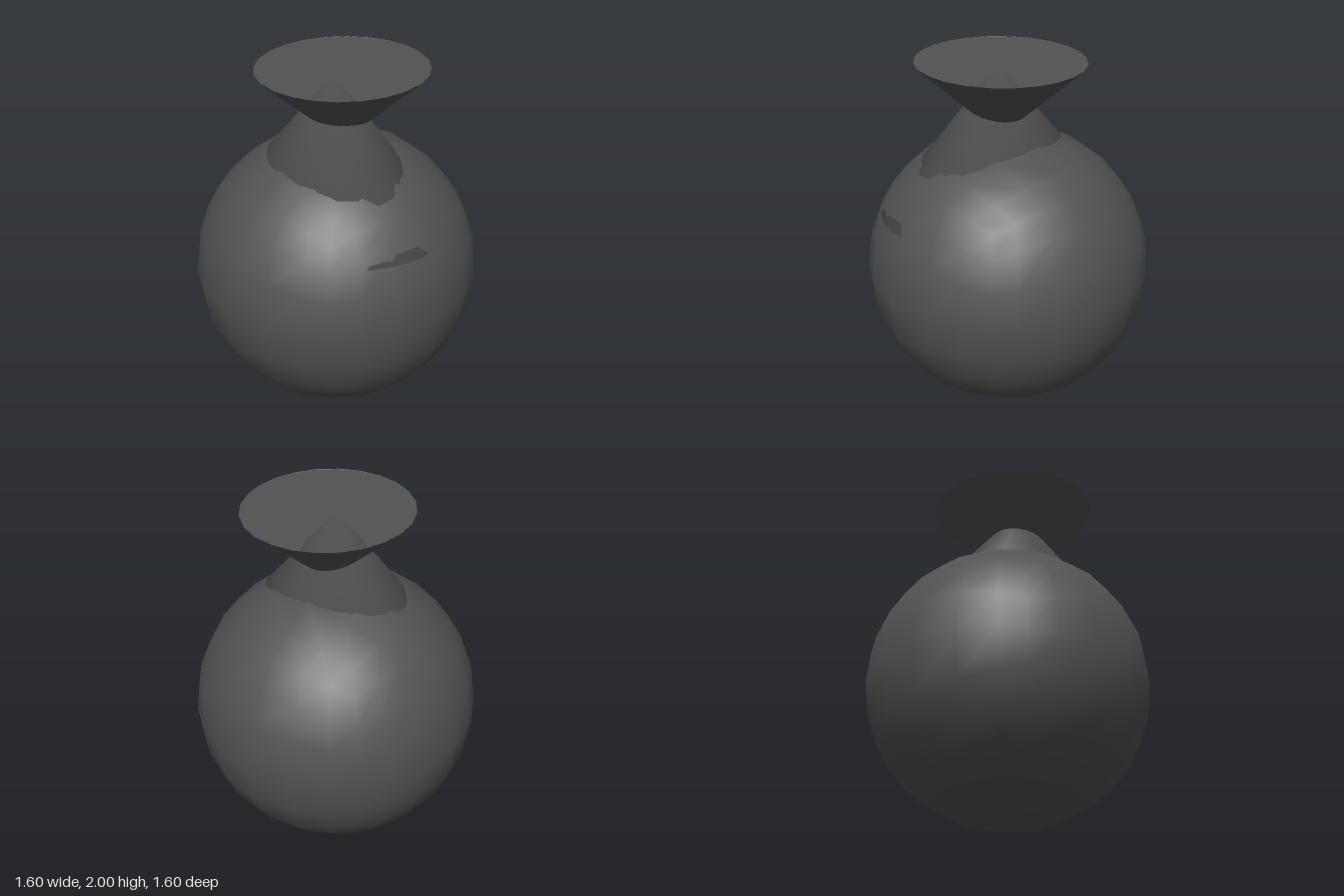
import * as THREE from 'three';
import { mergeVertices } from 'three/addons/utils/BufferGeometryUtils.js';

const SIDES = 24;

// Cube grid pushed out to a sphere, with smooth normals
function cubeSphere(radius, divisions) {
  const geometry = new THREE.BoxGeometry(2, 2, 2, divisions, divisions, divisions);
  const { position, normal } = geometry.attributes;
  const v = new THREE.Vector3();
  for (let i = 0; i < position.count; i++) {
    v.fromBufferAttribute(position, i).normalize();
    normal.setXYZ(i, v.x, v.y, v.z);
    position.setXYZ(i, v.x * radius, v.y * radius, v.z * radius);
  }
  return geometry;
}

// Closed oval cone shaded softly over its tip and base edge
function softCone(radiusX, radiusZ, height) {
  const cone = new THREE.ConeGeometry(1, height, SIDES);
  cone.scale(radiusX, 1, radiusZ);
  cone.deleteAttribute('normal');
  cone.deleteAttribute('uv');
  const merged = mergeVertices(cone);
  merged.computeVertexNormals();
  return merged;
}

export function createModel() {
  const group = new THREE.Group();
  const charcoal = new THREE.MeshStandardMaterial({ color: 0x525252, side: THREE.DoubleSide });
  charcoal.name = 'charcoal';

  const add = (name, geometry, x, y, z) => {
    const mesh = new THREE.Mesh(geometry, charcoal);
    mesh.name = name;
    mesh.position.set(x, y, z);
    group.add(mesh);
  };

  // Round body
  add('body', cubeSphere(0.8, 6), 0, 0.8, 0);

  // Oval cone forming the neck; its base just breaks the body at the front
  const neckHeight = 0.82;
  add('neck', softCone(0.58, 0.69, neckHeight), -0.05, 1.15 + neckHeight / 2, 0.03);

  // Open flared mouth: an outer wall and an inward-facing lining
  const depth = 0.424;
  const outer = new THREE.LatheGeometry([new THREE.Vector2(0, 0), new THREE.Vector2(0.48, depth)], SIDES);
  outer.scale(1, 1, 0.96);
  add('mouthOuter', outer, 0, 1.576, 0.05);

  const lining = new THREE.LatheGeometry([new THREE.Vector2(0.475, depth), new THREE.Vector2(0, 0)], SIDES);
  lining.scale(1, 1, 0.96);
  // Evenly shaded lining
  const normals = lining.attributes.normal;
  for (let i = 0; i < normals.count; i++) normals.setXYZ(i, 0, 1, 0);
  add('mouthLining', lining, 0, 1.576, 0.05);

  return group;
}
